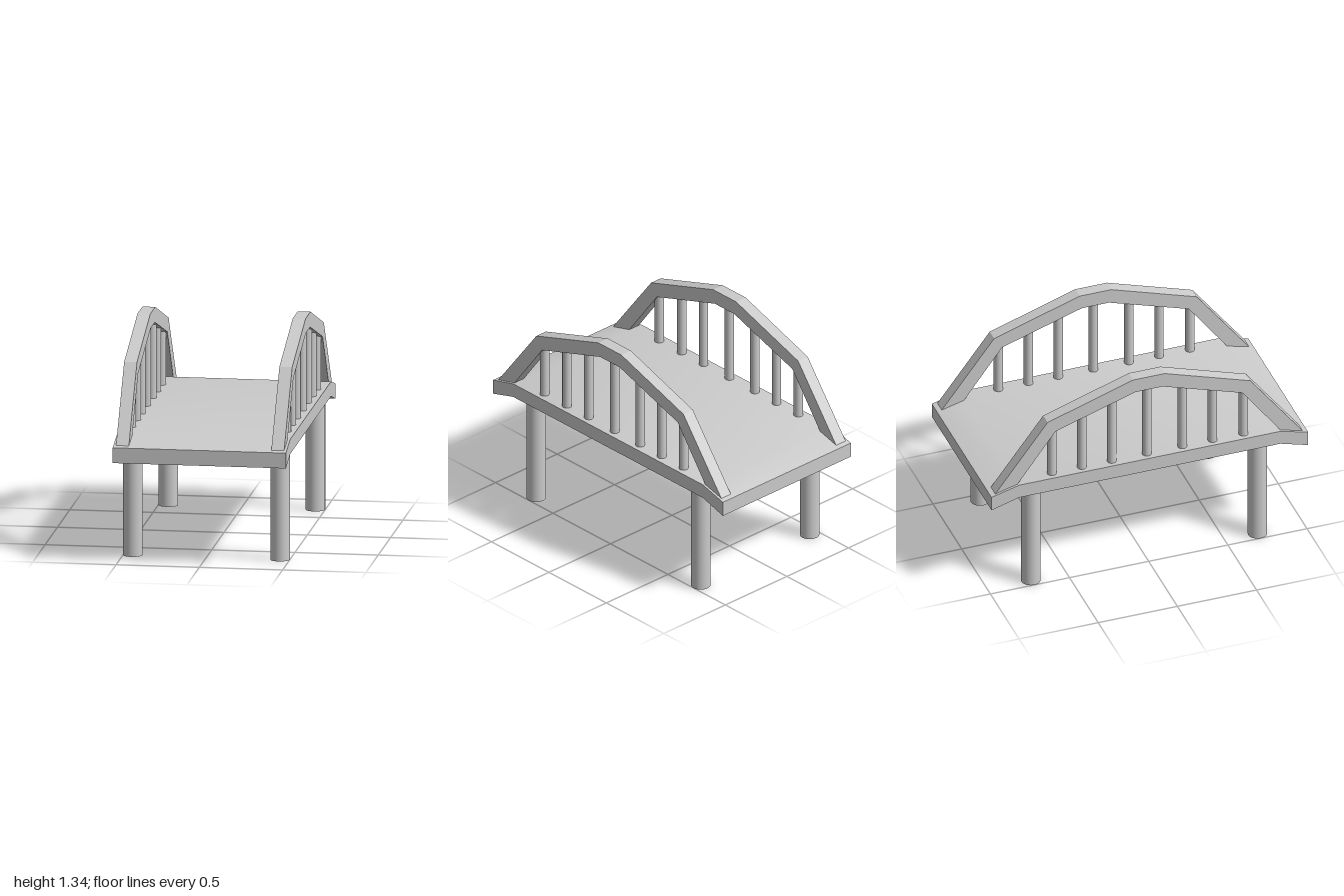
import * as THREE from 'three';
import { toCreasedNormals } from 'three/addons/utils/BufferGeometryUtils.js';

const material = new THREE.MeshStandardMaterial({ color: 0xcccccc });

function addMesh(parent, name, geometry, x, y, z) {
  const mesh = new THREE.Mesh(geometry, material);
  mesh.name = name;
  mesh.position.set(x, y, z);
  parent.add(mesh);
  return mesh;
}

// Side profile given as [z, y] points for +z, mirrored to -z and extruded along x, centred on x = 0
function sideExtrude(upper, lower, width) {
  const flip = (pts) => pts.map(([z, y]) => [-z, y]).reverse();
  const outline = [...lower.slice().reverse(), ...upper, ...flip(upper), ...flip(lower.slice().reverse())];
  const shape = new THREE.Shape(outline.map(([z, y]) => new THREE.Vector2(z, y)));
  const geometry = new THREE.ExtrudeGeometry(shape, { depth: width, bevelEnabled: false });
  geometry.translate(0, 0, -width / 2);
  geometry.rotateY(-Math.PI / 2);
  return geometry;
}

export function createModel() {
  const bridge = new THREE.Group();
  bridge.name = 'bridge';

  // Deck with gently sloping ends, shaded smoothly over the bends
  const deck = sideExtrude([[1, 0.71], [0.825, 0.757]], [[1, 0.617], [0.825, 0.668]], 1.04);
  addMesh(bridge, 'deck', toCreasedNormals(deck, 0.5), 0, 0, 0);

  // Faceted arches and the posts hanging below them
  const arch = sideExtrude(
    [[0.975, 0.712], [0.64, 1.156], [0.1, 1.335]],
    [[0.862, 0.712], [0.59, 1.08], [0.085, 1.245]],
    0.077
  );
  const postBottom = 0.72;
  const posts = [[0.61, 1.09], [0.415, 1.17], [0.225, 1.23], [0, 1.27], [-0.222, 1.23], [-0.41, 1.17], [-0.6, 1.09]];
  const pierHeight = 0.7;
  const pier = new THREE.CylinderGeometry(0.058, 0.058, pierHeight, 32);

  for (const [side, sx] of [['left', 1], ['right', -1]]) {
    const railing = new THREE.Group();
    railing.name = side + 'Railing';
    railing.position.x = sx * 0.466;
    bridge.add(railing);
    addMesh(railing, side + 'Arch', arch, 0, 0, 0);
    for (const [z, top] of posts) {
      const h = top - postBottom;
      addMesh(railing, side + 'Post', new THREE.CylinderGeometry(0.028, 0.028, h, 24), 0, postBottom + h / 2, z);
    }

    // Round piers under the deck
    for (const [end, z] of [['Front', 0.708], ['Back', -0.724]]) {
      addMesh(bridge, side + end + 'Pier', pier, sx * 0.442, pierHeight / 2, z);
    }
  }
  return bridge;
}
